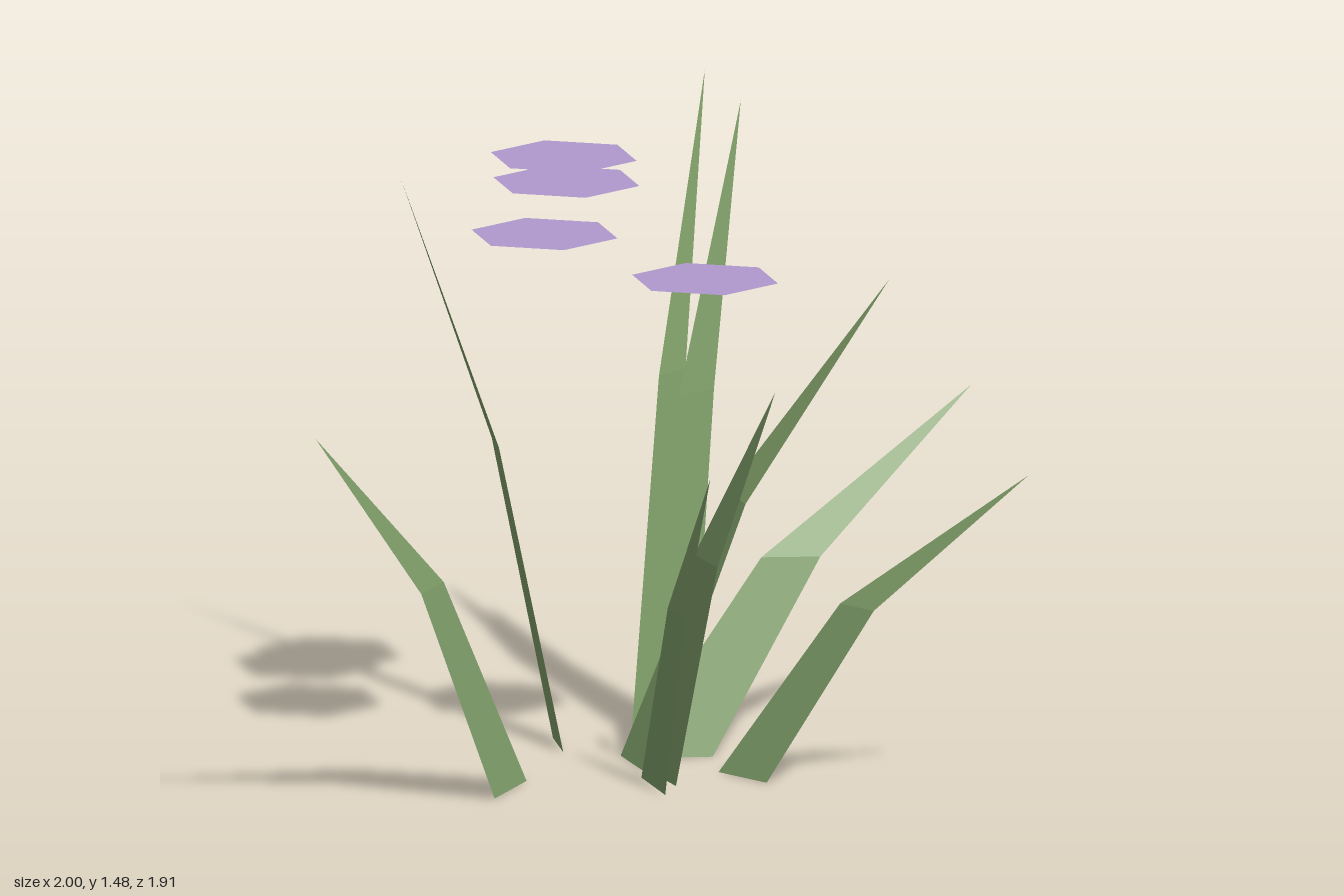
import * as THREE from 'three';

// Each blade: base corner 1 [x, z], base corner 2 [x, z], tip [x, y, z]
const BLADES = [
  [[-0.34, 0.03], [-0.155, -0.05], [-1.0, 0.98, 0.1]],
  [[-0.03, 0.285], [0.06, 0.115], [-0.05, 0.79, 0.455]],
  [[0.055, 0.235], [0.135, 0.045], [0.08, 0.99, 0.54]],
  [[0.12, -0.205], [0.21, -0.33], [0.33, 1.22, -0.955]],
  [[0.1, 0.095], [0.19, -0.085], [0.57, 1.165, 0.425]],
  [[0.325, -0.15], [0.485, -0.145], [0.77, 1.45, -0.27]],
  [[0.375, -0.235], [0.515, -0.25], [0.85, 1.48, -0.47]],
  [[0.185, -0.055], [0.335, 0.075], [0.995, 0.82, 0.27]],
  [[0.23, 0.36], [0.23, 0.2], [0.503, 0.79, 0.955]],
];

// Flower centres [x, y, z]
const FLOWERS = [
  [-0.21, 1.34, 0.065],
  [0.037, 1.457, -0.12],
  [0.168, 1.356, -0.243],
  [0.14, 1.205, 0.246],
];

// A bent leaf: a tapering quad up to the bend, then a triangle to the tip
function bladeGeometry([a, b], tipPoint) {
  const tip = new THREE.Vector3(...tipPoint);
  const base1 = new THREE.Vector3(a[0], 0, a[1]);
  const base2 = new THREE.Vector3(b[0], 0, b[1]);
  const centre = base1.clone().lerp(base2, 0.5);
  const bend = centre.clone().lerp(tip, 0.4).setY(tip.y * 0.55);
  const half = base2.clone().sub(centre).multiplyScalar(0.7);
  const mid1 = bend.clone().sub(half);
  const mid2 = bend.clone().add(half);
  const geometry = new THREE.BufferGeometry().setFromPoints([
    base1, base2, mid2, base1, mid2, mid1, mid1, mid2, tip,
  ]);
  geometry.computeVertexNormals();
  return geometry;
}

export function createModel() {
  const group = new THREE.Group();
  group.name = 'floweringPlant';

  const leafGreen = new THREE.MeshStandardMaterial({ color: 0x83a36c, side: THREE.DoubleSide, flatShading: true });
  leafGreen.name = 'leafGreen';
  const petalPurple = new THREE.MeshStandardMaterial({ color: 0xb199cf, side: THREE.DoubleSide, flatShading: true });
  petalPurple.name = 'petalPurple';

  // Fan of leaf blades
  BLADES.forEach(([a, b, tip], i) => {
    const blade = new THREE.Mesh(bladeGeometry([a, b], tip), leafGreen);
    blade.name = `leafBlade${i + 1}`;
    group.add(blade);
  });

  // Flat hexagonal blossoms hovering over the leaves
  const blossom = new THREE.CircleGeometry(0.177, 6).rotateX(-Math.PI / 2);
  FLOWERS.forEach((position, i) => {
    const flower = new THREE.Mesh(blossom, petalPurple);
    flower.name = `flower${i + 1}`;
    flower.position.set(...position);
    group.add(flower);
  });

  return group;
}
